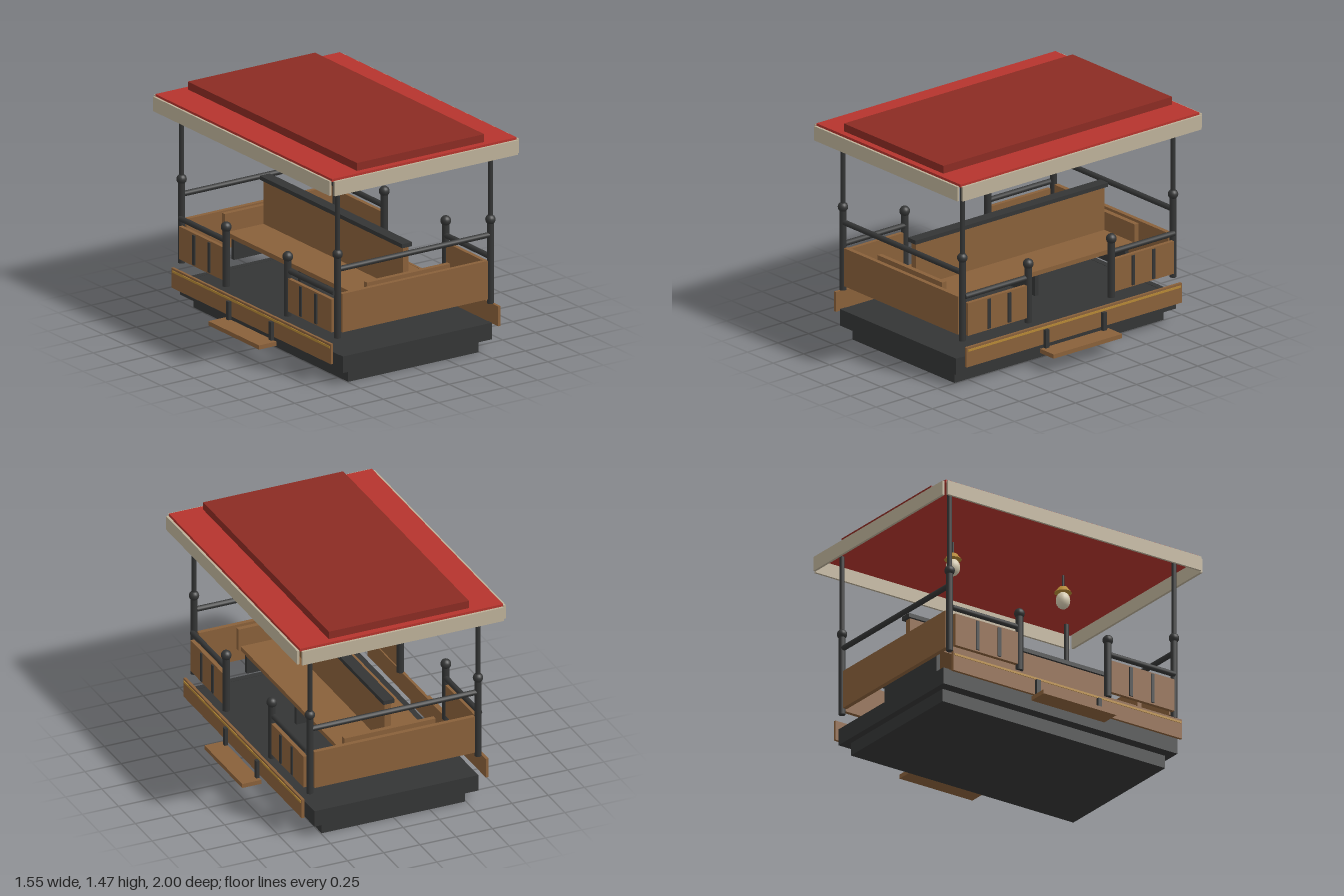
import * as THREE from 'three';

const mat = (name, color) => {
  const m = new THREE.MeshStandardMaterial({ color });
  m.name = name;
  return m;
};

export function createModel() {
  const red = mat('roofRed', 0xb5342d);
  const darkRed = mat('darkRed', 0x8b2b23);
  const cream = mat('cream', 0xbdb199);
  const wood = mat('wood', 0x89603a);
  const iron = mat('iron', 0x343535);
  const brass = mat('brass', 0xb58835);
  const glass = mat('lampGlass', 0xd6cbb0);

  const car = new THREE.Group();
  car.name = 'openCarriage';
  const add = (name, geo, m, x, y, z) => {
    const mesh = new THREE.Mesh(geo, m);
    mesh.name = name;
    mesh.position.set(x, y, z);
    car.add(mesh);
    return mesh;
  };
  // Box given by its limits on each axis
  const box = (name, m, x0, x1, y0, y1, z0, z1) =>
    add(name, new THREE.BoxGeometry(Math.abs(x1 - x0), y1 - y0, Math.abs(z1 - z0)), m,
      (x0 + x1) / 2, (y0 + y1) / 2, (z0 + z1) / 2);
  const post = (name, r, x, y0, y1, z) =>
    add(name, new THREE.CylinderGeometry(r, r, y1 - y0, 12), iron, x, (y0 + y1) / 2, z);
  const ball = (name, r, x, y, z) => add(name, new THREE.SphereGeometry(r, 16, 12), iron, x, y, z);

  // Underframe and floor
  box('underframe', iron, -0.495, 0.495, 0, 0.085, -0.855, 0.855);
  box('floor', iron, -0.565, 0.565, 0.085, 0.193, -0.86, 0.86);

  // Roof
  box('roof', red, -0.7, 0.7, 1.4, 1.42, -0.977, 0.977);
  box('roofTop', darkRed, -0.483, 0.483, 1.42, 1.472, -0.935, 0.935);

  // Central bench with backrest and supports
  box('benchSeat', wood, -0.3, 0.3, 0.455, 0.485, -0.77, 0.77);
  box('backrest', wood, -0.022, 0.022, 0.485, 0.775, -0.77, 0.77);
  box('backrestCap', iron, -0.038, 0.038, 0.775, 0.802, -0.787, 0.787);
  for (const z of [-0.735, 0, 0.735])
    box('benchSupport', iron, -0.28, 0.28, 0.31, 0.455, z - 0.014, z + 0.014);

  // Parts at both ends
  for (const s of [-1, 1]) {
    box('bumper', iron, -0.565, 0.565, 0.085, 0.195, s * 0.86, s * 0.9);
    box('endPanel', wood, -0.553, 0.553, 0.345, 0.6, s * 0.845, s * 0.875);
    box('benchEnd', wood, -0.315, 0.315, 0.455, 0.607, s * 0.77, s * 0.803);
    box('endFascia', cream, -0.695, 0.695, 1.312, 1.408, s * 0.984, s * 1);
    const rail = add('endRail', new THREE.CylinderGeometry(0.018, 0.018, 1.13, 12), iron, 0, 0.766, s * 0.862);
    rail.rotation.z = Math.PI / 2;

    // Ceiling lamp
    const z = s * 0.423;
    post('lampStem', 0.008, 0, 1.31, 1.4, z);
    add('lampShade', new THREE.CylinderGeometry(0.027, 0.056, 0.038, 16), brass, 0, 1.299, z);
    add('lampBulb', new THREE.SphereGeometry(0.046, 16, 12), glass, 0, 1.227, z).scale.y = 1.24;
  }

  // Parts along both sides
  for (const s of [-1, 1]) {
    box('sideFascia', cream, s * 0.705, s * 0.72, 1.312, 1.408, -0.975, 0.975);
    box('sillBoard', wood, s * 0.626, s * 0.644, 0.153, 0.285, -0.88, 0.88);
    box('sillTrim', brass, s * 0.644, s * 0.648, 0.257, 0.271, -0.87, 0.87);
    box('runningStep', wood, s * 0.645, s * 0.777, 0.103, 0.131, -0.28, 0.28);

    for (const t of [-1, 1]) {
      box('stepBracket', iron, s * 0.644, s * 0.665, 0.131, 0.252, t * 0.22, t * 0.25);

      // Corner post
      post('cornerPostLower', 0.022, s * 0.58, 0.312, 0.865, t * 0.862);
      post('cornerPostUpper', 0.016, s * 0.58, 0.865, 1.4, t * 0.862);
      ball('cornerPostBall', 0.033, s * 0.58, 0.867, t * 0.862);

      // Doorway post
      post('doorPost', 0.024, s * 0.6, 0.312, 0.705, t * 0.34);
      ball('doorPostBall', 0.034, s * 0.6, 0.704, t * 0.34);

      // Side panel, slats and handrail
      box('sidePanel', wood, s * 0.587, s * 0.613, 0.347, 0.565, t * 0.36, t * 0.842);
      for (const z of [0.506, 0.673])
        box('panelSlat', iron, s * 0.613, s * 0.621, 0.357, 0.555, t * (z - 0.012), t * (z + 0.012));
      const rail = add('sideRail', new THREE.CylinderGeometry(0.018, 0.018, 0.51, 12), iron, s * 0.595, 0.61, t * 0.6);
      rail.rotation.x = Math.PI / 2;
    }
  }
  return car;
}
